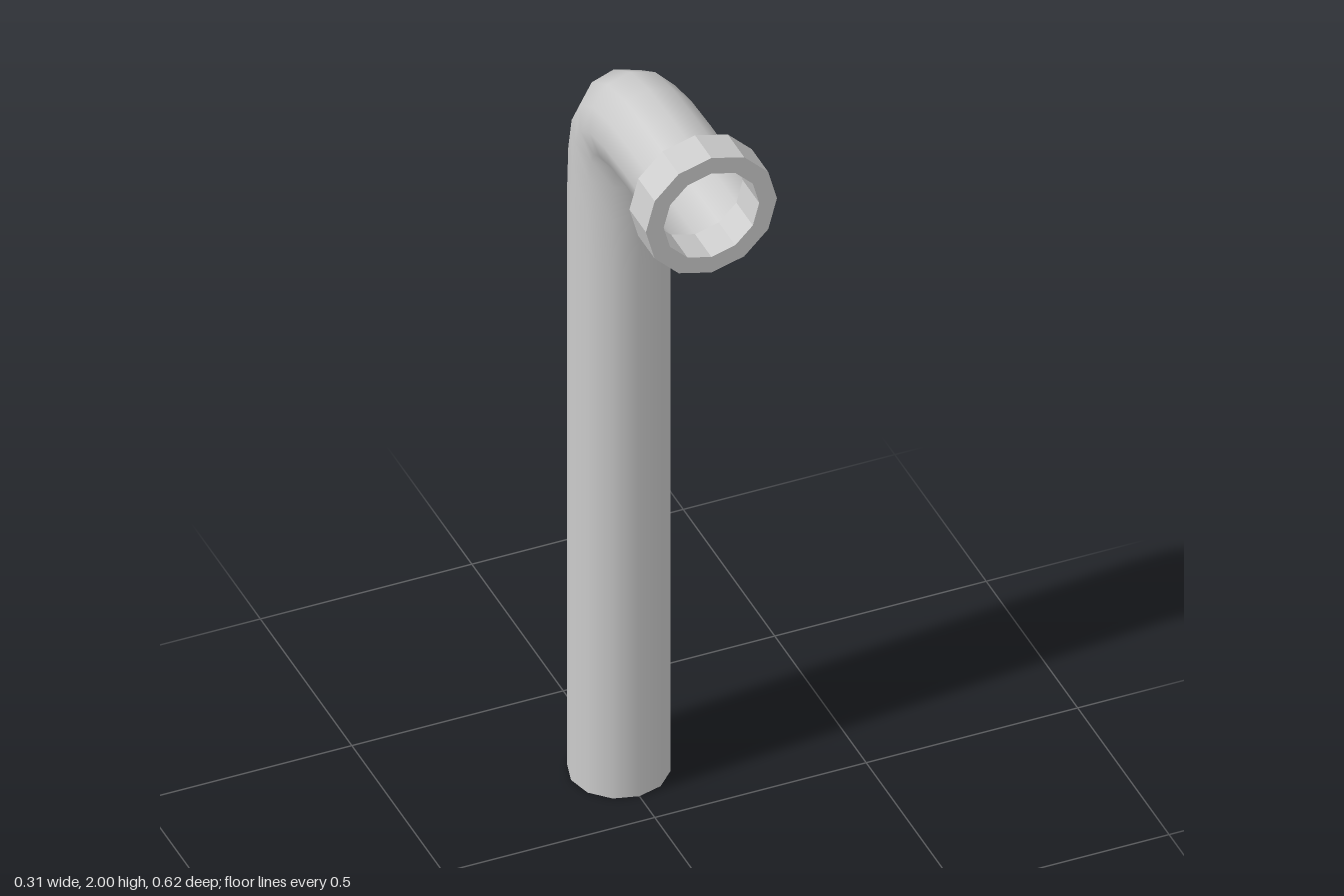
import * as THREE from 'three';
import { ParametricGeometry } from 'three/addons/geometries/ParametricGeometry.js';

const SIDES = 12;
const PIPE_R = 0.113;
const AXIS_Y = 1.845; // height of the horizontal outlet
const AXIS_Z = -0.197; // depth of the upright
const BEND_START = 1.43;
const BEND_STEPS = 8;
const COLLAR_R = 0.155;
const COLLAR_BACK = 0.22;
const COLLAR_DEPTH = 0.09;

// Centre line of the elbow; both handles sit on the corner for a soft bend
const corner = new THREE.Vector3(0, AXIS_Y, AXIS_Z);
const bend = new THREE.CubicBezierCurve3(
  new THREE.Vector3(0, BEND_START, AXIS_Z), corner, corner,
  new THREE.Vector3(0, AXIS_Y, COLLAR_BACK)
);

// Surface of the pipe: first step is the straight upright, the rest the bend
function pipeSurface(u, v, target) {
  const step = v * (BEND_STEPS + 1);
  const t = Math.min(1, Math.max(0, (step - 1) / BEND_STEPS));
  const centre = bend.getPoint(t);
  const tangent = bend.getTangent(t);
  if (step < 1) centre.y = BEND_START * step;
  const angle = -u * Math.PI * 2;
  const out = Math.cos(angle) * PIPE_R;
  target.set(
    Math.sin(angle) * PIPE_R,
    centre.y + tangent.z * out,
    centre.z - tangent.y * out
  );
}

export function createModel() {
  const model = new THREE.Group();
  model.name = 'bentPipe';

  // Thin open pipe, smooth around its sides
  const pipe = new THREE.Mesh(
    new ParametricGeometry(pipeSurface, SIDES, BEND_STEPS + 1),
    new THREE.MeshStandardMaterial({ color: 0xcccccc, side: THREE.DoubleSide })
  );
  pipe.name = 'pipe';
  model.add(pipe);

  // Faceted collar ring around the outlet
  const profile = [
    [PIPE_R, 0], [COLLAR_R, 0], [COLLAR_R, COLLAR_DEPTH], [PIPE_R, COLLAR_DEPTH], [PIPE_R, 0],
  ].map(([r, y]) => new THREE.Vector2(r, y));
  const collar = new THREE.Mesh(
    new THREE.LatheGeometry(profile, SIDES).rotateX(Math.PI / 2),
    new THREE.MeshStandardMaterial({ color: 0xcccccc, flatShading: true })
  );
  collar.name = 'collar';
  collar.position.set(0, AXIS_Y, COLLAR_BACK);
  model.add(collar);

  return model;
}
